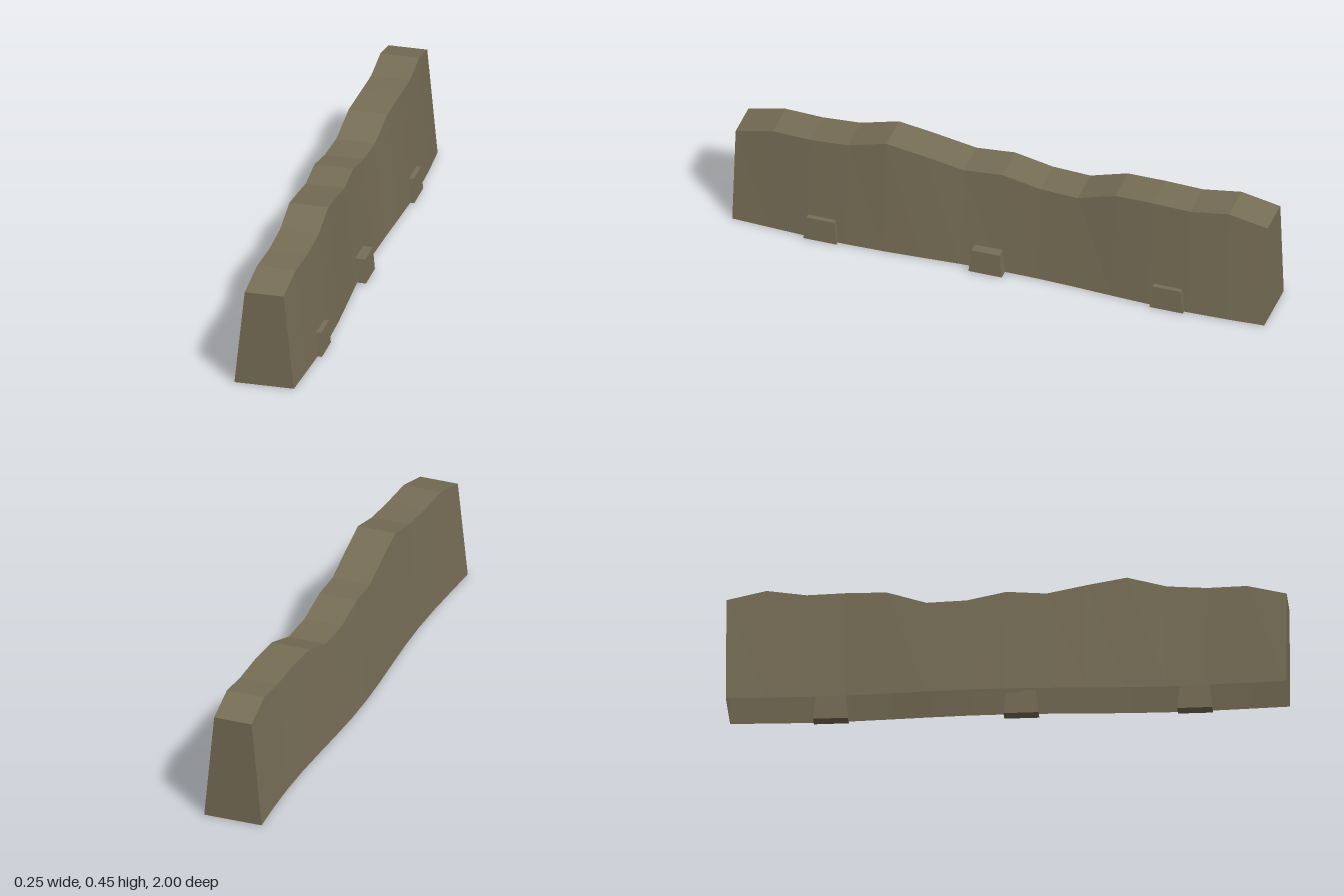
import * as THREE from 'three';

const stone = new THREE.MeshStandardMaterial({ color: 0x776e56, flatShading: true, side: THREE.DoubleSide });
stone.name = 'weathered stone';

// Crest heights from the front end (z = 1) to the back end (z = -1)
const HEIGHTS = [0.36, 0.398, 0.398, 0.41, 0.448, 0.42, 0.388, 0.397, 0.368, 0.366, 0.415, 0.42, 0.417, 0.437, 0.402];
const BASE_HALF = 0.1095;
const TOP_HALF = 0.0715;

// Gentle sideways meander of the wall
const centreX = (z) => -0.007 - 0.0115 * Math.cos(5 * (z + 0.06));

// Tapered wall with an uneven crest, open underneath
function wallGeometry() {
  const pos = [];
  const index = [];
  const last = HEIGHTS.length - 1;
  HEIGHTS.forEach((h, i) => {
    const z = 1 - (2 * i) / last;
    const c = centreX(z);
    pos.push(c - BASE_HALF, 0, z, c - TOP_HALF, h, z, c + TOP_HALF, h, z, c + BASE_HALF, 0, z);
  });
  const quad = (a, b, c, d) => index.push(a, b, c, a, c, d);
  for (let i = 0; i < last; i++) {
    for (let j = 0; j < 3; j++) {
      const a = i * 4 + j;
      quad(a, a + 1, a + 5, a + 4);
    }
  }
  quad(0, 3, 2, 1); // front end
  const e = last * 4;
  quad(e, e + 1, e + 2, e + 3); // back end
  const g = new THREE.BufferGeometry();
  g.setAttribute('position', new THREE.Float32BufferAttribute(pos, 3));
  g.setIndex(index);
  const flat = g.toNonIndexed();
  flat.computeVertexNormals();
  return flat;
}

// Box narrowed toward its top
function footStoneGeometry() {
  const g = new THREE.BoxGeometry(0.047, 0.09, 0.125);
  g.translate(0, 0.045, 0);
  const p = g.attributes.position;
  for (let i = 0; i < p.count; i++) {
    if (p.getY(i) > 0.01) {
      p.setX(i, p.getX(i) * 0.8);
      p.setZ(i, p.getZ(i) * 0.84);
    }
  }
  g.computeVertexNormals();
  return g;
}

export function createModel() {
  const model = new THREE.Group();
  model.name = 'stoneWall';

  const wall = new THREE.Mesh(wallGeometry(), stone);
  wall.name = 'wall';
  model.add(wall);

  // Small stones along the foot of the left side
  const footGeo = footStoneGeometry();
  [0.66, 0.04, -0.64].forEach((z, i) => {
    const foot = new THREE.Mesh(footGeo, stone);
    foot.name = `footStone${i + 1}`;
    foot.position.set(0.1035, 0, z);
    model.add(foot);
  });
  return model;
}
